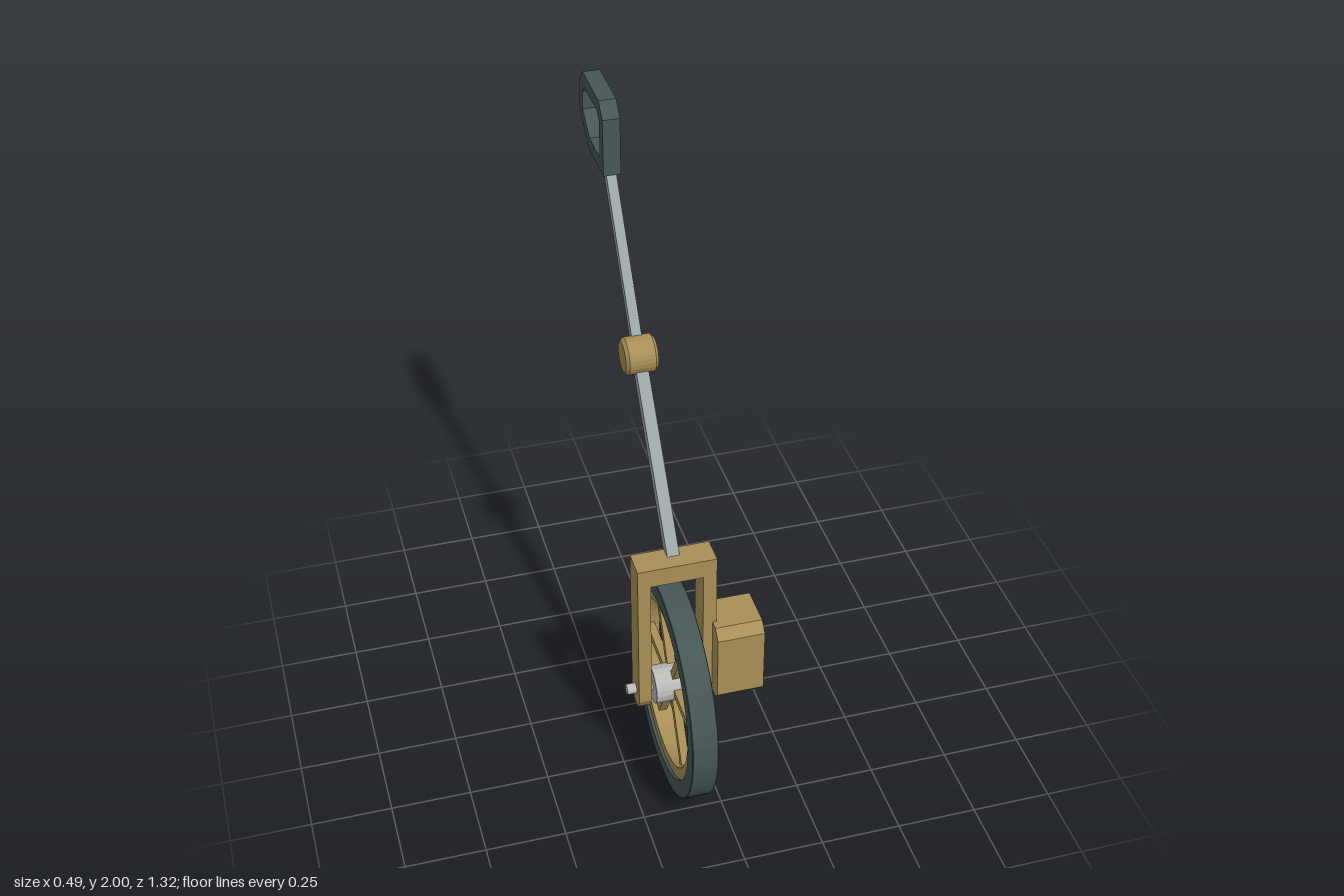
import * as THREE from 'three';

const mat = (name, color) => Object.assign(new THREE.MeshStandardMaterial({ color }), { name });

export function createModel() {
  const brass = mat('brass', 0xa98f57);
  const rubber = mat('dark rubber', 0x465654);
  const steel = mat('steel', 0x9ca5a7);
  const silver = mat('light silver', 0xb9bab8);

  const root = new THREE.Group();
  root.name = 'measuringWheel';

  const add = (parent, name, geo, material, x = 0, y = 0, z = 0) => {
    const m = new THREE.Mesh(geo, material);
    m.name = name;
    m.position.set(x, y, z);
    parent.add(m);
    return m;
  };
  const faceted = (geo) => {
    const g = geo.toNonIndexed();
    g.computeVertexNormals();
    return g;
  };
  const vecs = (pts) => pts.map(([a, b]) => new THREE.Vector2(a, b));

  // Box between two corner coordinates
  const block = (parent, name, material, [x0, x1], [y0, y1], [z0, z1]) =>
    add(parent, name, new THREE.BoxGeometry(x1 - x0, y1 - y0, z1 - z0), material,
      (x0 + x1) / 2, (y0 + y1) / 2, (z0 + z1) / 2);

  // Side profile of (z, y) points, extruded from x0 to x1
  const plate = (parent, name, material, pts, x0, x1, hole) => {
    const shape = new THREE.Shape(vecs(pts));
    if (hole) shape.holes.push(new THREE.Path(vecs(hole)));
    const geo = new THREE.ExtrudeGeometry(shape, { depth: x1 - x0, bevelEnabled: false });
    geo.rotateY(-Math.PI / 2).translate(x1, 0, 0);
    return add(parent, name, geo, material);
  };

  // Turned part around the x axis from (radius, offset) points
  const turned = (parent, name, material, pts, sides, x, y, z) =>
    add(parent, name, faceted(new THREE.LatheGeometry(vecs(pts), sides).rotateZ(-Math.PI / 2)),
      material, x, y, z);
  const ring = (outer, inner, h, c) => [
    [inner, -h], [outer - c, -h], [outer, -h + c], [outer, h - c], [outer - c, h], [inner, h], [inner, -h]];
  const drum = (r, h, c) => [[0, -h], [r - c, -h], [r, -h + c], [r, h - c], [r - c, h], [0, h]];

  // Square bar between two points
  const bar = (parent, name, material, a, b, w) => {
    const p = new THREE.Vector3(...a), q = new THREE.Vector3(...b);
    const m = add(parent, name, new THREE.BoxGeometry(w, w, p.distanceTo(q)), material);
    m.position.copy(p).add(q).multiplyScalar(0.5);
    m.lookAt(q);
    return m;
  };

  // Wheel
  const wheel = new THREE.Group();
  wheel.name = 'wheel';
  wheel.position.set(-0.1, 0.36, 0.3);
  root.add(wheel);
  turned(wheel, 'tyre', rubber, ring(0.36, 0.305, 0.04, 0.002), 48, 0, 0, 0);
  turned(wheel, 'rim', brass, ring(0.307, 0.268, 0.03, 0.001), 48, 0, 0, 0);
  turned(wheel, 'hub', silver, drum(0.06, 0.068, 0.001), 20, 0, 0, 0);
  for (let i = 0; i < 6; i++) {
    const a = (i * Math.PI) / 3;
    const spoke = add(wheel, 'spoke', new THREE.BoxGeometry(0.026, 0.026, 0.235), brass,
      0, -Math.sin(a) * 0.16, Math.cos(a) * 0.16);
    spoke.rotation.x = a;
  }
  turned(root, 'axle', silver, drum(0.017, 0.125, 0.001), 12, -0.125, 0.36, 0.3);

  // Fork
  block(root, 'forkCrown', brass, [-0.22, 0.024], [0.793, 0.855], [0.257, 0.344]);
  const leg = [[0.28, 0.3], [0.322, 0.3], [0.344, 0.337], [0.344, 0.793], [0.257, 0.793], [0.257, 0.337]];
  plate(root, 'forkLegRight', brass, leg, -0.22, -0.18);
  plate(root, 'forkLegLeft', brass, leg, -0.018, 0.024);

  // Counter box with its display
  plate(root, 'counterBox', brass, [[0.21, 0.34], [0.383, 0.34], [0.403, 0.362], [0.403, 0.58],
    [0.373, 0.61], [0.243, 0.61], [0.188, 0.555], [0.188, 0.362]], 0.012, 0.16);
  block(root, 'display', silver, [0.16, 0.169], [0.487, 0.566], [0.236, 0.364]);

  // Folding pole with a pivot joint
  const joint = [-0.097, 1.325, -0.087];
  bar(root, 'lowerPole', steel, [-0.097, 0.835, 0.287], joint, 0.038);
  bar(root, 'upperPole', steel, joint, [-0.097, 1.79, -0.408], 0.031);
  turned(root, 'pivotJoint', brass, drum(0.058, 0.05, 0.01), 24, ...joint);

  // Loop handle
  plate(root, 'handle', rubber,
    [[-0.368, 1.957], [-0.41, 2], [-0.606, 2], [-0.655, 1.947], [-0.655, 1.857], [-0.553, 1.775], [-0.368, 1.775]],
    -0.123, -0.07,
    [[-0.41, 1.937], [-0.431, 1.957], [-0.59, 1.957], [-0.617, 1.93], [-0.617, 1.873], [-0.537, 1.815], [-0.41, 1.815]]);

  // Kickstand
  bar(root, 'standLeg', steel, [0.016, 0.775, 0.268], [0.183, 0.035, -0.172], 0.026);
  block(root, 'standFoot', rubber, [0.13, 0.243], [0, 0.053], [-0.217, -0.118]);

  return root;
}
